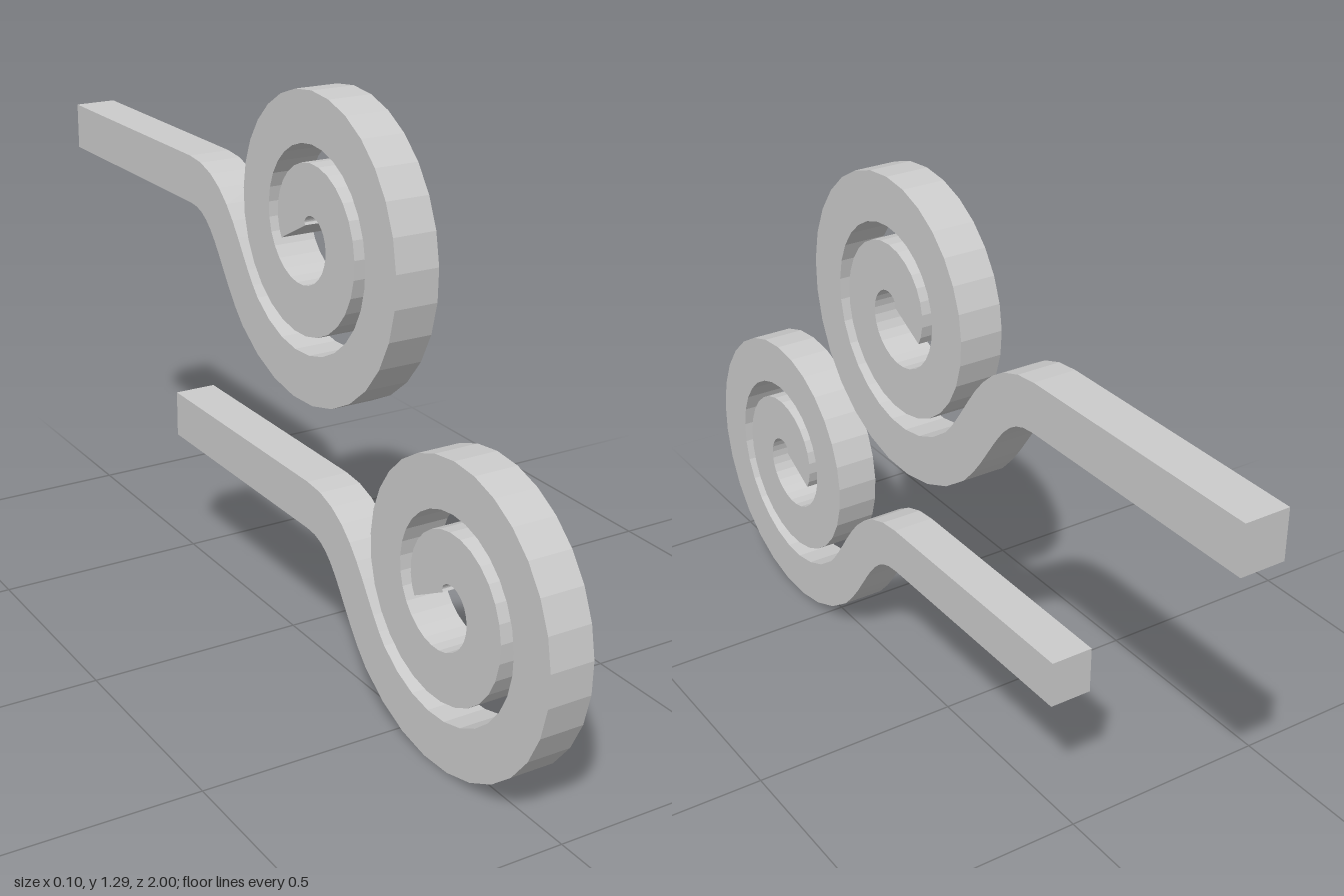
import * as THREE from 'three';

const HALF_WIDTH = 0.055;
const THICKNESS = 0.1;

// Centre line in the side plane: straight bar, S-bend, then an inward spiral
function centreLine() {
  const spiral = (t) => {
    const r = 0.321 - 0.0241 * t; // t = 0 is the lowest point of the coil
    return new THREE.Vector2(-0.137 - r * Math.sin(t), 0.986 - r * Math.cos(t));
  };
  const start = -Math.PI / 4;
  const end = 3.5 * Math.PI + 0.17;
  const bend = new THREE.CubicBezierCurve(
    new THREE.Vector2(0.38, 0.985),
    new THREE.Vector2(0.23, 0.985),
    new THREE.Vector2(0.202, 0.84),
    spiral(start)
  );
  const points = [new THREE.Vector2(1, 0.985), ...bend.getPoints(10)];
  const steps = 56;
  for (let i = 1; i <= steps; i++) points.push(spiral(start + ((end - start) * i) / steps));
  return points;
}

// Band of constant width around the centre line
function bandShape(points) {
  const sideA = [];
  const sideB = [];
  points.forEach((p, i) => {
    const before = points[Math.max(i - 1, 0)];
    const after = points[Math.min(i + 1, points.length - 1)];
    // The straight bar keeps its direction up to the bend
    const d = (i === 1 ? p.clone().sub(before) : after.clone().sub(before)).normalize();
    const n = new THREE.Vector2(-d.y, d.x).multiplyScalar(HALF_WIDTH);
    sideA.push(p.clone().add(n));
    sideB.push(p.clone().sub(n));
  });
  return new THREE.Shape([...sideA, ...sideB.reverse()]);
}

export function createModel() {
  const group = new THREE.Group();
  group.name = 'scrollPair';
  const material = new THREE.MeshStandardMaterial({ color: 0xcccccc, flatShading: true });

  const geometry = new THREE.ExtrudeGeometry(bandShape(centreLine()), {
    depth: THICKNESS,
    bevelEnabled: false,
  });
  geometry.translate(0, 0, -THICKNESS / 2);
  geometry.rotateY(Math.PI / 2); // the bar points to the back

  // Two identical scrolls, the lower one set further forward
  const upper = new THREE.Mesh(geometry, material);
  upper.name = 'upperScroll';
  const lower = new THREE.Mesh(geometry, material);
  lower.name = 'lowerScroll';
  lower.position.set(0, -0.609, 0.527);
  group.add(upper, lower);
  return group;
}
